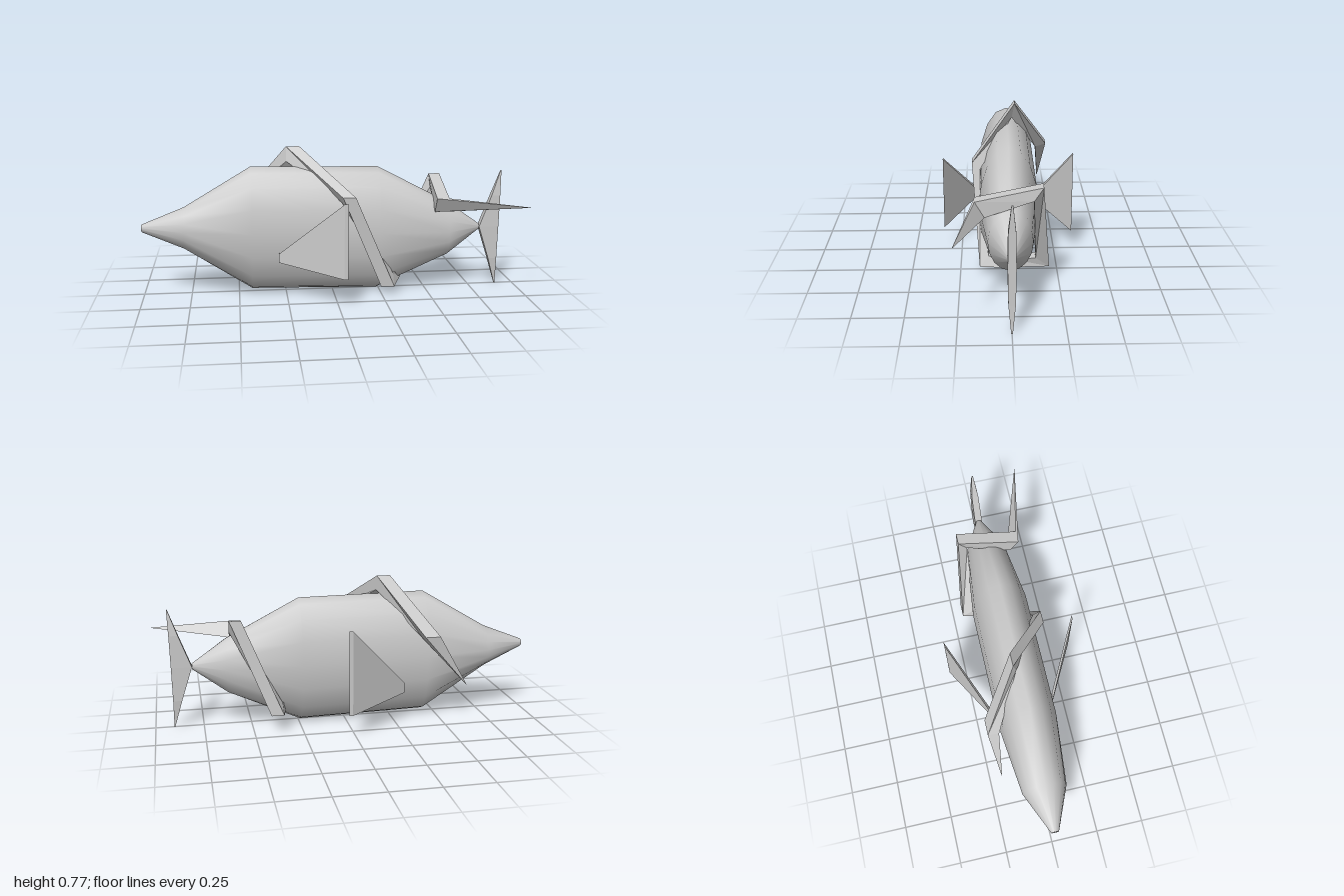
import * as THREE from 'three';

// Skin a list of rings (equal point counts) and close both ends
function loft(rings, flat) {
  const n = rings[0].length, idx = [], pos = rings.flat(2);
  for (let k = 0; k < rings.length - 1; k++) {
    for (let j = 0; j < n; j++) {
      const a = k * n + j, b = k * n + (j + 1) % n;
      idx.push(a, b, b + n, a, b + n, a + n);
    }
  }
  const last = (rings.length - 1) * n;
  for (let j = 1; j < n - 1; j++) {
    idx.push(0, j + 1, j, last, last + j, last + j + 1);
  }
  let g = new THREE.BufferGeometry();
  g.setAttribute('position', new THREE.Float32BufferAttribute(pos, 3));
  g.setIndex(idx);
  if (flat) g = g.toNonIndexed();
  g.computeVertexNormals();
  return g;
}

// Strap cross-section: half width w along x, outer and inner (y, z) edges
const strapRing = ([x, w, yo, zo, yi, zi]) => [
  [x - w, yo, zo], [x + w, yo, zo], [x + w, yi, zi], [x - w, yi, zi],
];

export function createModel() {
  const group = new THREE.Group();
  const smooth = new THREE.MeshStandardMaterial({ color: 0xcccccc });
  const faceted = new THREE.MeshStandardMaterial({ color: 0xcccccc, flatShading: true });
  const add = (name, rings, flat = true) => {
    const mesh = new THREE.Mesh(loft(rings, flat), flat ? faceted : smooth);
    mesh.name = name;
    group.add(mesh);
  };

  // Body: elliptical stations [x, bottom, top, half depth] from snout to tail
  const stations = [
    [-1, 0.345, 0.385, 0.02], [-0.78, 0.252, 0.472, 0.115],
    [-0.43, 0.02, 0.68, 0.152], [0.24, 0.005, 0.67, 0.152],
    [0.62, 0.18, 0.472, 0.108], [0.8, 0.315, 0.345, 0.014],
  ];
  const sides = 16;
  add('body', stations.map(([x, y0, y1, d]) =>
    Array.from({ length: sides }, (_, i) => {
      const a = (i / sides) * Math.PI * 2;
      return [x, (y0 + y1) / 2 + Math.sin(a) * (y1 - y0) / 2, -Math.cos(a) * d];
    })), false);

  // Tail fin: upright spindle [y, leading x, trailing x, half thickness]
  add('tailFin', [
    [0.005, 0.9, 0.904, 0.004], [0.15, 0.858, 0.904, 0.017],
    [0.33, 0.8, 0.907, 0.02], [0.5, 0.864, 0.911, 0.018],
    [0.635, 0.912, 0.916, 0.004],
  ].map(([y, x0, x1, t]) => [[x0, y, t], [x1, y, t], [x1, y, -t], [x0, y, -t]]));

  // Side fins: thin plates [x, z, bottom, top, half thickness], short stub then blade
  const plateRing = ([x, z, y0, y1, t]) => [
    [x - t, y0, z], [x + t, y0, z], [x + t, y1, z], [x - t, y1, z],
  ];
  add('frontSideFin', [
    [-0.27, 0.12, 0.21, 0.25, 0.015], [-0.28, 0.17, 0.205, 0.25, 0.015],
    [0.035, 0.34, 0.153, 0.54, 0.01],
  ].map(plateRing));
  add('backSideFin', [
    [0.028, -0.342, 0.123, 0.562, 0.01], [-0.28, -0.17, 0.17, 0.225, 0.015],
    [-0.27, -0.12, 0.175, 0.225, 0.015],
  ].map(plateRing));

  // Middle strap: from under the belly, over the back, down to a point
  add('middleStrap', [
    [0.335, 0.035, 0.07, 0.02, 0.12, 0.02], [0.28, 0.035, 0.05, 0.15, 0.11, 0.105],
    [0.07, 0.033, 0.54, 0.187, 0.505, 0.145], [-0.205, 0.035, 0.777, -0.04, 0.7, -0.025],
    [-0.43, 0.04, 0.478, -0.223, 0.46, -0.165], [-0.63, 0.001, 0.2, -0.19, 0.2, -0.188],
  ].map(strapRing));

  // Rear strap: pointed front end, over the tail root, down the back side and under
  add('rearStrap', [
    [1, 0.001, 0.483, 0.256, 0.481, 0.254], [0.562, 0.032, 0.522, 0.168, 0.442, 0.122],
    [0.582, 0.03, 0.597, -0.155, 0.53, -0.11], [0.38, 0.033, 0.098, -0.198, 0.145, -0.13],
    [0.35, 0.033, 0.08, -0.03, 0.12, -0.03],
  ].map(strapRing));

  return group;
}
